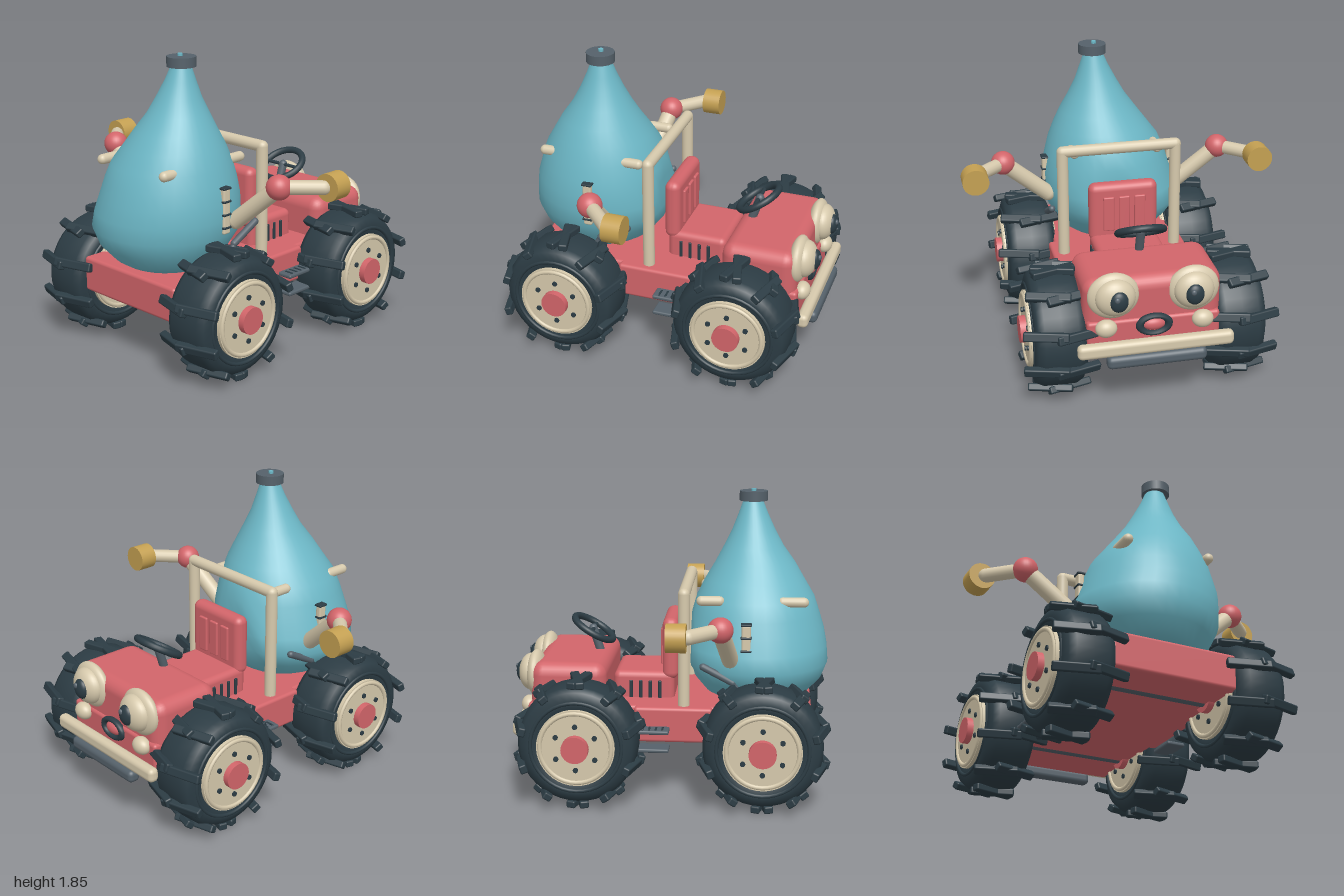
import * as THREE from 'three';
import { mergeVertices } from 'three/addons/utils/BufferGeometryUtils.js';
import { RoundedBoxGeometry } from 'three/addons/geometries/RoundedBoxGeometry.js';

const paint = (name, color) => {
  const m = new THREE.MeshStandardMaterial({ color });
  m.name = name;
  return m;
};

export function createModel() {
  const model = new THREE.Group();
  model.name = 'sprayerBuggy';
  const teal = paint('tankTeal', 0x6db8c7), red = paint('bodyRed', 0xd2656a);
  const cream = paint('cream', 0xd6c9ac), rubber = paint('rubber', 0x2c3c44);
  const slate = paint('slate', 0x55616a), gold = paint('brass', 0xc4a052);

  // ---- helpers ----
  const add = (name, geo, mat, [x, y, z] = [0, 0, 0], parent = model) => {
    const m = new THREE.Mesh(geo, mat);
    m.name = name;
    m.position.set(x, y, z);
    parent.add(m);
    return m;
  };
  const box = (w, h, d, r = 0.02) => new RoundedBoxGeometry(w, h, d, 3, r);
  const cyl = (r, len, axis = 'y', seg = 32) => {
    const g = new THREE.CylinderGeometry(r, r, len, seg);
    if (axis === 'x') g.rotateZ(Math.PI / 2);
    if (axis === 'z') g.rotateX(Math.PI / 2);
    return g;
  };
  const rod = (name, a, b, r, mat) => {
    const A = new THREE.Vector3(...a), B = new THREE.Vector3(...b);
    const d = B.clone().sub(A);
    const m = add(name, new THREE.CapsuleGeometry(r, d.length(), 6, 16), mat);
    m.position.copy(A).add(B).multiplyScalar(0.5);
    m.quaternion.setFromUnitVectors(new THREE.Vector3(0, 1, 0), d.normalize());
    return m;
  };
  const ball = (name, rx, ry, rz, mat, p) =>
    add(name, new THREE.SphereGeometry(1, 28, 20).scale(rx, ry, rz), mat, p);

  // ---- chassis, hood and seat ----
  add('chassis', box(0.8, 0.22, 1.74), red, [0, 0.465, 0.01]);
  add('chassisMiddle', box(0.88, 0.22, 0.48), red, [0, 0.465, 0.04]);
  add('hood', box(0.83, 0.36, 0.47, 0.08), red, [0, 0.65, -0.61]);
  add('seatBase', box(0.43, 0.22, 0.38, 0.04), red, [0, 0.63, -0.16]);
  add('seatBack', box(0.44, 0.39, 0.1, 0.045), red, [0, 0.885, 0.005]);
  for (const x of [-0.1, 0, 0.1]) add('seatRib', box(0.07, 0.23, 0.02, 0.008), red, [x, 0.885, -0.05]);

  // ---- bumper, skid and face ----
  add('bumper', box(0.94, 0.09, 0.07, 0.03), cream, [0, 0.425, -0.915]);
  add('skidBar', box(0.6, 0.08, 0.08, 0.03), slate, [0, 0.35, -0.93]);
  add('mouth', new THREE.TorusGeometry(0.08, 0.022, 10, 28).scale(1.1, 0.7, 1), rubber, [0, 0.53, -0.86]);
  ball('mouthCentre', 0.07, 0.04, 0.035, red, [0, 0.53, -0.85]);
  for (const s of [-1, 1]) {
    ball('eyeSocket', 0.155, 0.145, 0.06, cream, [s * 0.24, 0.73, -0.83]);
    ball('eyeball', 0.12, 0.115, 0.075, cream, [s * 0.235, 0.735, -0.865]);
    ball('pupil', 0.055, 0.065, 0.035, rubber, [s * 0.225, 0.735, -0.925]);
    ball('eyeGlint', 0.016, 0.018, 0.012, slate, [s * 0.225 + 0.015, 0.76, -0.955]);
    ball('cheek', 0.065, 0.055, 0.05, cream, [s * 0.29, 0.54, -0.87]);
  }

  // ---- steering ----
  rod('steeringColumn', [0, 0.82, -0.46], [0, 0.965, -0.505], 0.027, slate);
  const wheelRing = add('steeringWheel', new THREE.TorusGeometry(0.138, 0.022, 12, 36), rubber, [0, 0.965, -0.5]);
  wheelRing.rotation.x = Math.PI / 2 + 0.54;
  const spoke = add('steeringSpoke', cyl(0.013, 0.27, 'x', 12), rubber, [0, 0.965, -0.5]);
  spoke.scale.y = 0.8;

  // ---- side details ----
  for (const s of [-1, 1]) {
    add('stepPlate', box(0.12, 0.025, 0.2, 0.01), slate, [s * 0.475, 0.445, -0.08]);
    add('lowerStep', box(0.12, 0.025, 0.2, 0.01), slate, [s * 0.475, 0.33, -0.08]);
    for (let i = 0; i < 4; i++) {
      add('stepSlot', box(0.06, 0.006, 0.012, 0.002), rubber, [s * 0.49, 0.459, -0.14 + i * 0.04]);
      add('louver', box(0.02, 0.12, 0.02, 0.005), rubber, [s * 0.215, 0.625, -0.06 - i * 0.06]);
    }
    rod('lever', [s * 0.42, 0.56, 0.5], [s * 0.42, 0.74, 0.4], 0.018, slate);
    rod('leverGrip', [s * 0.42, 0.74, 0.4], [s * 0.42, 0.835, 0.22], 0.022, slate);
    rod('strut', [s * 0.38, 0.44, -0.54], [s * 0.38, 0.62, -0.72], 0.022, slate);
  }

  // ---- wheels ----
  const tyreProfile = [[0.2, -0.13], [0.24, -0.15], [0.29, -0.157], [0.335, -0.14], [0.358, -0.1], [0.363, 0],
    [0.358, 0.1], [0.335, 0.14], [0.29, 0.157], [0.24, 0.15], [0.2, 0.13]].map(p => new THREE.Vector2(...p));
  const tyreGeo = new THREE.LatheGeometry(tyreProfile, 40).rotateZ(Math.PI / 2);
  const lugGeo = box(0.27, 0.055, 0.045, 0.01);
  for (const sx of [-1, 1]) for (const z of [0.59, -0.52]) {
    const wheel = new THREE.Group();
    wheel.name = 'wheel';
    wheel.position.set(sx * 0.545, 0.397, z);
    model.add(wheel);
    add('tyre', tyreGeo, rubber, [0, 0, 0], wheel);
    add('rim', cyl(0.235, 0.34, 'x', 40), cream, [0, 0, 0], wheel);
    add('hub', cyl(0.082, 0.42, 'x'), red, [0, 0, 0], wheel);
    for (const s of [-1, 1]) {
      const lip = new THREE.TorusGeometry(0.215, 0.014, 8, 40).rotateY(Math.PI / 2);
      add('rimLip', lip, cream, [s * 0.168, 0, 0], wheel);
      const ridge = new THREE.TorusGeometry(0.275, 0.012, 8, 40).rotateY(Math.PI / 2);
      add('sidewallRidge', ridge, rubber, [s * 0.153, 0, 0], wheel);
      // two crossed rings of tread lugs
      const ring = new THREE.Group();
      ring.name = 'treadRing';
      ring.rotation.y = s * 0.27;
      wheel.add(ring);
      for (let i = 0; i < 10; i++) {
        const a = i / 10 * Math.PI * 2 + s * 0.02;
        const lug = add('lug', lugGeo, rubber, [0, -Math.cos(a) * 0.373, Math.sin(a) * 0.373], ring);
        lug.rotation.x = Math.PI / 2 - a;
      }
    }
    for (let i = 0; i < 6; i++) {
      const a = i / 6 * Math.PI * 2;
      add('bolt', cyl(0.016, 0.36, 'x', 10), rubber, [0, Math.cos(a) * 0.135, Math.sin(a) * 0.135], wheel);
    }
  }
  for (const z of [0.59, -0.52]) add('axle', cyl(0.05, 0.9, 'x'), slate, [0, 0.397, z]);

  // ---- tank: leaning drop, rows of [y, radius, centre x, centre z], flattened at the front ----
  const rows = [[0.575, 0.001, -0.01, 0.54], [0.576, 0.27, -0.01, 0.54], [0.61, 0.325, -0.02, 0.54], [0.7, 0.4, -0.03, 0.545],
    [0.8, 0.453, -0.03, 0.53], [0.9, 0.445, -0.015, 0.53], [1.0, 0.426, 0.005, 0.53], [1.1, 0.4, 0.01, 0.525],
    [1.2, 0.366, 0.02, 0.525], [1.3, 0.31, 0.04, 0.52], [1.4, 0.25, 0.055, 0.52], [1.5, 0.187, 0.065, 0.51],
    [1.6, 0.135, 0.07, 0.507], [1.7, 0.092, 0.08, 0.503], [1.79, 0.058, 0.085, 0.5]];
  const tankGeo = new THREE.LatheGeometry(rows.map(r => new THREE.Vector2(r[1], r[0])), 36);
  const pos = tankGeo.attributes.position;
  for (let i = 0; i < pos.count; i++) {
    const [, , cx, cz] = rows[i % rows.length];
    pos.setX(i, pos.getX(i) + cx);
    pos.setZ(i, Math.max(0.13, pos.getZ(i) + cz));
  }
  tankGeo.deleteAttribute('normal');
  tankGeo.deleteAttribute('uv');
  const smoothTank = mergeVertices(tankGeo, 1e-5);
  smoothTank.computeVertexNormals();
  add('tank', smoothTank, teal);
  add('tankCap', cyl(0.088, 0.06), slate, [0.09, 1.81, 0.503]);
  add('capKnob', cyl(0.016, 0.02, 'y', 12), teal, [0.08, 1.845, 0.503]);

  for (const s of [-1, 1]) {
    // tank pegs and sight gauges
    rod('tankPeg', [s * 0.27, 1.21, 0.2], [s * 0.27, 1.21, 0.31], 0.031, cream);
    rod('tankPeg', [s * 0.27, 1.21, 0.69], [s * 0.27, 1.21, 0.82], 0.031, cream);
    add('gauge', box(0.04, 0.28, 0.055, 0.012), cream, [s * 0.42, 0.96, 0.478]);
    for (const y of [0.86, 0.94, 1.02, 1.1]) add('gaugeBand', box(0.05, 0.014, 0.066, 0.005), rubber, [s * 0.42, y, 0.478]);

    // roll bar post
    add('rollPost', cyl(0.036, 0.7), cream, [s * 0.365, 0.92, 0.1]);

    // spray arm
    rod('upperArm', [s * 0.42, 0.88, 0.385], [s * 0.71, 1.13, 0.335], 0.052, cream);
    ball('elbow', 0.076, 0.076, 0.076, red, [s * 0.712, 1.135, 0.335]);
    rod('forearm', [s * 0.712, 1.135, 0.335], [s * 0.9, 1.135, 0.16], 0.043, cream);
    add('nozzle', cyl(0.083, 0.115, 'z'), gold, [s * 0.917, 1.135, 0.095]);
  }
  rod('rollCrossbar', [-0.365, 1.27, 0.1], [0.365, 1.27, 0.1], 0.036, cream);
  return model;
}
